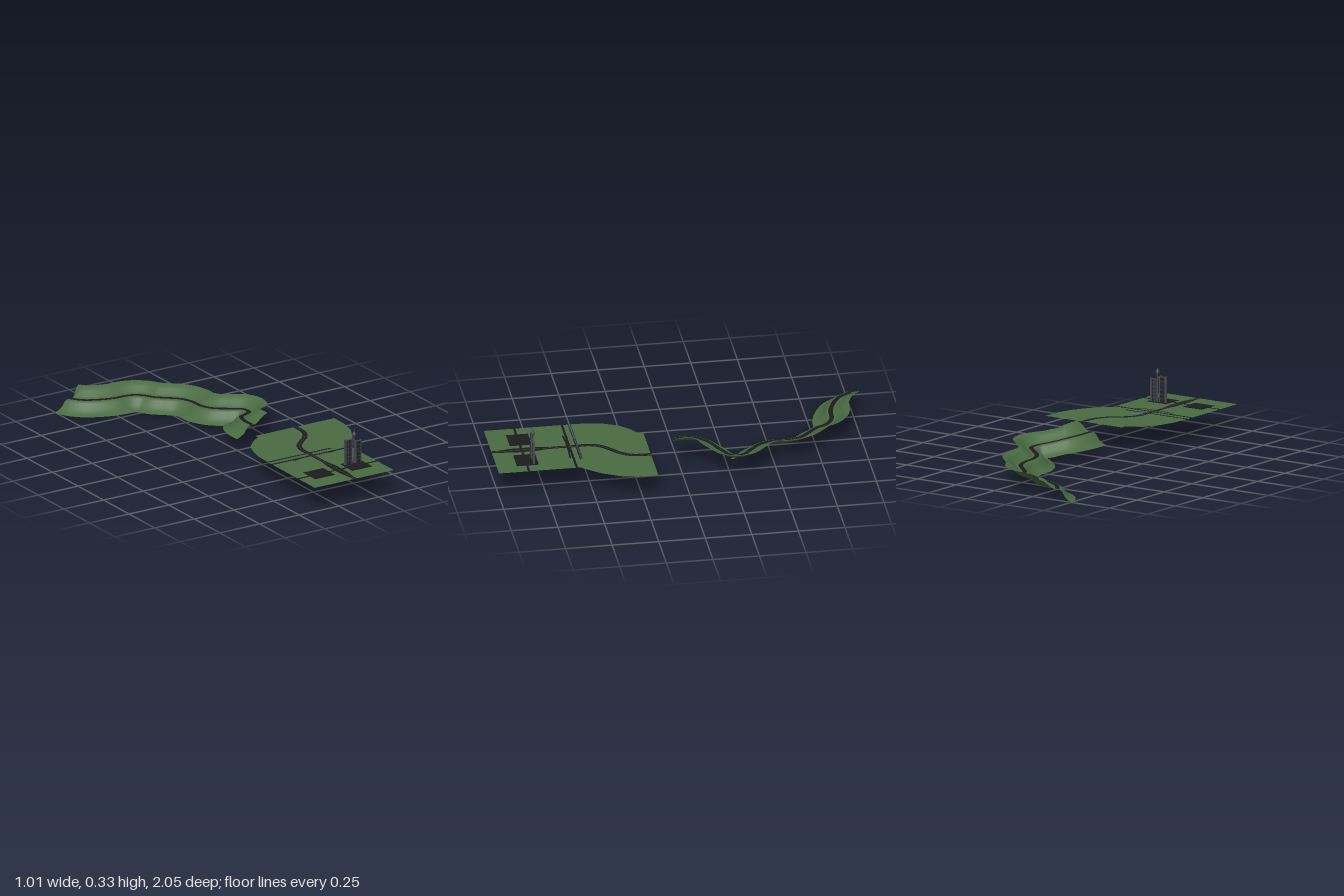
import * as THREE from 'three';

const paint = (color) => new THREE.MeshStandardMaterial({ color, side: THREE.DoubleSide });
const GROUND = 0.136;

export function createModel() {
  const model = new THREE.Group();
  const grass = paint(0x4a6b42), asphalt = paint(0x1c1c1f), concrete = paint(0x4a4a50), glass = paint(0x23252d);

  const add = (parent, name, geometry, material, x = 0, y = 0, z = 0) => {
    const mesh = new THREE.Mesh(geometry, material);
    mesh.name = name;
    mesh.position.set(x, y, z);
    parent.add(mesh);
    return mesh;
  };
  const box = (parent, name, material, x0, x1, y0, y1, z0, z1) =>
    add(parent, name, new THREE.BoxGeometry(x1 - x0, y1 - y0, z1 - z0), material, (x0 + x1) / 2, (y0 + y1) / 2, (z0 + z1) / 2);

  const curve = (points) => new THREE.CatmullRomCurve3(points.map((p) => new THREE.Vector3(...p)), false, 'centripetal');

  // Sweep a cross-section of [sideways, up] pairs along a path; end cuts stay square to z
  const ribbon = (path, steps, section) => {
    const pos = [], idx = [], n = section.length;
    for (let i = 0; i <= steps; i++) {
      const p = path.getPointAt(i / steps), t = path.getTangentAt(i / steps);
      if (i === 0 || i === steps) t.set(0, 0, Math.sign(t.z) || 1);
      const len = Math.hypot(t.x, t.z);
      for (const [s, h] of section) pos.push(p.x - (t.z / len) * s, p.y + h, p.z + (t.x / len) * s);
    }
    for (let i = 0; i < steps; i++) for (let j = 0; j < n - 1; j++) {
      const a = i * n + j, b = a + 1, c = a + n, d = c + 1;
      idx.push(a, b, c, b, d, c);
    }
    const g = new THREE.BufferGeometry();
    g.setAttribute('position', new THREE.Float32BufferAttribute(pos, 3));
    g.setIndex(idx);
    g.computeVertexNormals();
    return g;
  };

  // Flat ground plate from [x, z] corners
  const plate = (points) => {
    const shape = new THREE.Shape(points.map(([x, z]) => new THREE.Vector2(x, -z)));
    return new THREE.ShapeGeometry(shape).rotateX(-Math.PI / 2);
  };

  // Winding hillside: low on the left of the road, high on the right
  const valley = new THREE.Group();
  valley.name = 'valley';
  model.add(valley);
  const valleyPath = curve([
    [0.09, 0.13, 0.01], [0.09, 0.13, -0.07], [0.125, 0.12, -0.15], [0.19, 0.1, -0.21], [0.245, 0.087, -0.265],
    [0.245, 0.084, -0.32], [0.19, 0.08, -0.375], [0.13, 0.077, -0.43], [0.098, 0.075, -0.5], [0.095, 0.072, -0.59],
    [0.07, 0.07, -0.66], [0.015, 0.068, -0.72], [-0.03, 0.067, -0.765], [-0.065, 0.066, -0.825], [-0.12, 0.066, -0.86],
    [-0.22, 0.065, -0.872], [-0.3, 0.064, -0.9], [-0.365, 0.063, -0.94], [-0.41, 0.062, -1],
  ]);
  add(valley, 'hillside', ribbon(valleyPath, 160, [
    [-0.097, -0.06], [-0.075, -0.053], [-0.05, -0.037], [-0.03, -0.008], [-0.018, 0], [0.018, 0],
    [0.035, 0.009], [0.055, 0.028], [0.075, 0.042], [0.097, 0.049],
  ]), grass);
  add(valley, 'valleyRoad', ribbon(valleyPath, 160, [[-0.012, 0.002], [0.012, 0.002]]), asphalt);

  // Flat meadow with an S-bend road
  const meadow = new THREE.Group();
  meadow.name = 'meadow';
  model.add(meadow);
  add(meadow, 'meadowGround', plate([
    [0.008, 0.17], [0.008, 0.195], [-0.05, 0.235], [-0.1, 0.29], [-0.13, 0.36], [-0.148, 0.44], [-0.152, 0.535],
    [0.24, 0.535], [0.26, 0.55], [0.31, 0.585], [0.36, 0.55], [0.43, 0.465], [0.48, 0.37], [0.502, 0.28], [0.505, 0.17],
  ]), grass, 0, GROUND, 0);
  const bend = curve([
    [0.1, GROUND, 0.535], [0.1, GROUND, 0.48], [0.122, GROUND, 0.42], [0.165, GROUND, 0.375],
    [0.215, GROUND, 0.33], [0.25, GROUND, 0.27], [0.258, GROUND, 0.21], [0.258, GROUND, 0.17],
  ]);
  add(meadow, 'meadowRoad', ribbon(bend, 60, [[-0.014, 0.001], [0.014, 0.001]]), asphalt);
  add(meadow, 'roadMarking', ribbon(bend, 60, [[-0.001, 0.0015], [0.001, 0.0015]]), concrete);

  // Town square plate
  const town = new THREE.Group();
  town.name = 'town';
  model.add(town);
  add(town, 'townGround', plate([[-0.152, 0.55], [-0.152, 1], [0.345, 1], [0.345, 0.55]]), grass, 0, GROUND - 0.0005, 0);

  // Main road widens in the middle
  add(town, 'mainRoad', plate([
    [0.088, 0.55], [0.088, 0.7], [0.077, 0.77], [0.077, 0.89], [0.088, 0.96], [0.088, 1],
    [0.112, 1], [0.112, 0.96], [0.123, 0.89], [0.123, 0.77], [0.112, 0.7], [0.112, 0.55],
  ]), asphalt, 0, GROUND + 0.001, 0);
  box(town, 'roadMarking', concrete, 0.099, 0.101, GROUND + 0.001, GROUND + 0.002, 0.56, 1);
  box(town, 'crossRoad', asphalt, -0.152, 0.345, GROUND, GROUND + 0.001, 0.832, 0.844);
  box(town, 'backRoad', asphalt, -0.152, 0.345, GROUND, GROUND + 0.0012, 0.576, 0.588);

  // Low arched overpass with two piers
  const arch = curve([
    [-0.03, GROUND + 0.001, 0.599], [0.03, GROUND + 0.006, 0.596], [0.1, GROUND + 0.008, 0.594],
    [0.17, GROUND + 0.006, 0.596], [0.235, GROUND + 0.001, 0.599],
  ]);
  const overpass = ribbon(arch, 24, [[-0.005, 0], [0.005, 0]]);
  add(town, 'overpass', overpass, asphalt);
  for (const x of [0.078, 0.122]) box(town, 'overpassPier', concrete, x - 0.002, x + 0.002, GROUND, GROUND + 0.007, 0.592, 0.598);

  // Paved squares on both sides of the road
  for (const x of [-0.018, 0.216]) box(town, 'pavedSquare', asphalt, x - 0.063, x + 0.063, GROUND, GROUND + 0.001, 0.775, 0.893);

  // Twin slab towers: glass core, edge columns, floor bands and mullions
  const tower = (name, x0, x1, top) => {
    const g = new THREE.Group(), z0 = 0.793, z1 = 0.805;
    g.name = name;
    town.add(g);
    box(g, 'glassCore', glass, x0 + 0.003, x1 - 0.003, GROUND, top - 0.004, z0 + 0.001, z1 - 0.001);
    for (const x of [x0, x1 - 0.006]) box(g, 'edgeColumn', concrete, x, x + 0.006, GROUND, top, z0, z1);
    for (let i = 1; i <= 6; i++) {
      const y = GROUND + ((top - GROUND - 0.004) * i) / 6;
      box(g, 'floorBand', concrete, x0, x1, y - 0.001, y + 0.001, z0 + 0.0005, z1 - 0.0005);
    }
    for (let i = 1; i < 4; i++) {
      const x = x0 + ((x1 - x0) * i) / 4;
      box(g, 'mullion', concrete, x - 0.0005, x + 0.0005, GROUND, top - 0.004, z0 + 0.0005, z1 - 0.0005);
    }
  };
  tower('tallTower', 0.166, 0.21, 0.279);
  tower('shortTower', 0.229, 0.268, 0.262);
  box(town, 'skyBridge', concrete, 0.208, 0.224, 0.267, 0.274, 0.796, 0.802);

  // Mast with viewing pod and antenna
  const mast = [
    [0, 0], [0.005, 0], [0.004, 0.13], [0.004, 0.146], [0.01, 0.158], [0.011, 0.166], [0.006, 0.17],
    [0.004, 0.178], [0.0015, 0.18], [0.0008, 0.197], [0, 0.197],
  ].map(([r, y]) => new THREE.Vector2(r, y));
  add(town, 'viewingMast', new THREE.LatheGeometry(mast, 12), concrete, 0.225, GROUND, 0.799);

  return model;
}
